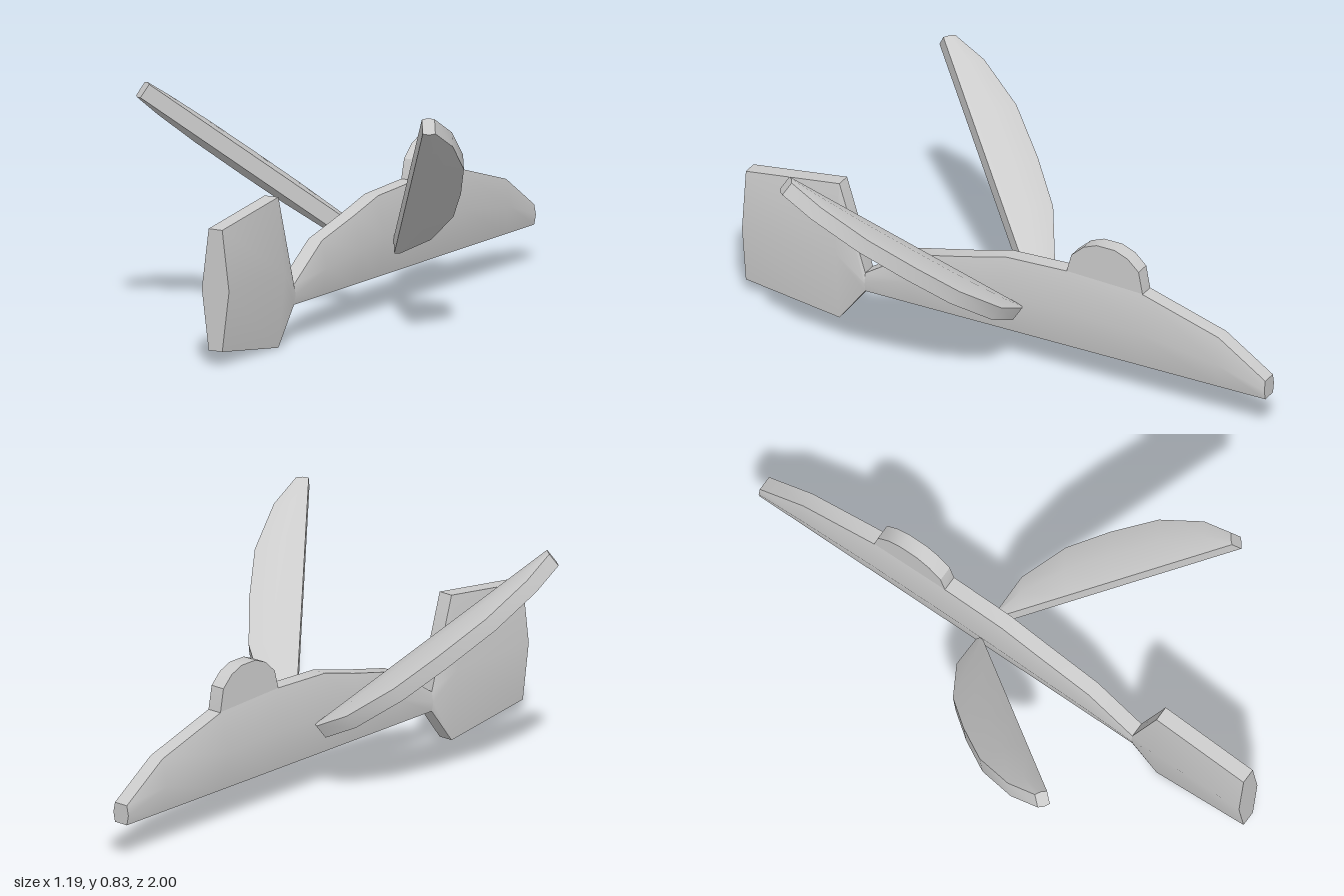
import * as THREE from 'three';
import { toCreasedNormals } from 'three/addons/utils/BufferGeometryUtils.js';

const EDGE = 0.027; // half thickness along every rim
const material = new THREE.MeshStandardMaterial({ color: 0xcccccc });

// Hexagonal slab through sections [z, low, high]: thin rims, thicker along the middle
function slab(sections) {
  const pos = [], index = [];
  for (const [z, lo, hi] of sections) {
    const mid = (lo + hi) / 2;
    const belly = EDGE + Math.min(EDGE, 0.1 * (hi - lo));
    pos.push(EDGE, lo, z, belly, mid, z, EDGE, hi, z, -EDGE, hi, z, -belly, mid, z, -EDGE, lo, z);
  }
  const last = (sections.length - 1) * 6;
  for (let i = 0; i < last; i += 6) {
    for (let j = 0; j < 6; j++) {
      const a = i + j, b = i + (j + 1) % 6;
      index.push(a, b, b + 6, a, b + 6, a + 6);
    }
  }
  for (let j = 1; j < 5; j++) {
    index.push(0, j + 1, j);
    index.push(last, last + j, last + j + 1);
  }
  const geometry = new THREE.BufferGeometry();
  geometry.setAttribute('position', new THREE.Float32BufferAttribute(pos, 3));
  geometry.setIndex(index);
  return geometry;
}

function addMesh(group, name, geometry) {
  const mesh = new THREE.Mesh(toCreasedNormals(geometry, Math.PI / 6), material);
  mesh.name = name;
  group.add(mesh);
}

export function createModel() {
  const group = new THREE.Group();
  group.name = 'finnedGlider';

  // Body: flat underside, arched back
  addMesh(group, 'body', slab([
    [-1, 0.13, 0.2], [-0.82, 0.13, 0.32], [-0.52, 0.13, 0.41], [-0.24, 0.13, 0.42],
    [0, 0.13, 0.41], [0.15, 0.13, 0.37], [0.36, 0.13, 0.32], [0.54, 0.13, 0.2],
  ]));

  // Upright tail blade
  addMesh(group, 'tail', slab([[0.54, 0.13, 0.2], [0.64, 0, 0.52], [1, 0.05, 0.47]]));

  // Rounded hump on the back
  const outline = [
    [0.235, 0.38], [0.53, 0.38], [0.527, 0.41], [0.512, 0.49], [0.47, 0.53], [0.42, 0.55],
    [0.35, 0.55], [0.3, 0.53], [0.253, 0.487], [0.235, 0.42],
  ];
  const shape = new THREE.Shape(outline.map(([x, y]) => new THREE.Vector2(x, y)));
  const hump = new THREE.ExtrudeGeometry(shape, { depth: 2 * EDGE, bevelEnabled: false });
  hump.translate(0, 0, -EDGE).rotateY(Math.PI / 2);
  addMesh(group, 'hump', hump);

  // Raised wings: straight inner edge, curved outer edge
  const wing = [
    [-0.005, 0, 0.022], [0.104, 0, 0.115], [0.292, 0, 0.172], [0.479, 0, 0.179],
    [0.683, 0, 0.169], [0.869, 0, 0.113], [0.978, 0, 0.043],
  ];
  for (const side of [1, -1]) {
    const span = new THREE.Vector3(side * 0.505, 0.588, 0.629).normalize();
    const chord = new THREE.Vector3(side * 0.787, -0.01, -0.616);
    const normal = chord.clone().cross(span).normalize();
    chord.crossVectors(span, normal);
    const place = new THREE.Matrix4().makeBasis(normal, chord, span)
      .setPosition(side * 0.057, 0.232, -0.053);
    addMesh(group, side > 0 ? 'leftWing' : 'rightWing', slab(wing).applyMatrix4(place));
  }
  return group;
}
